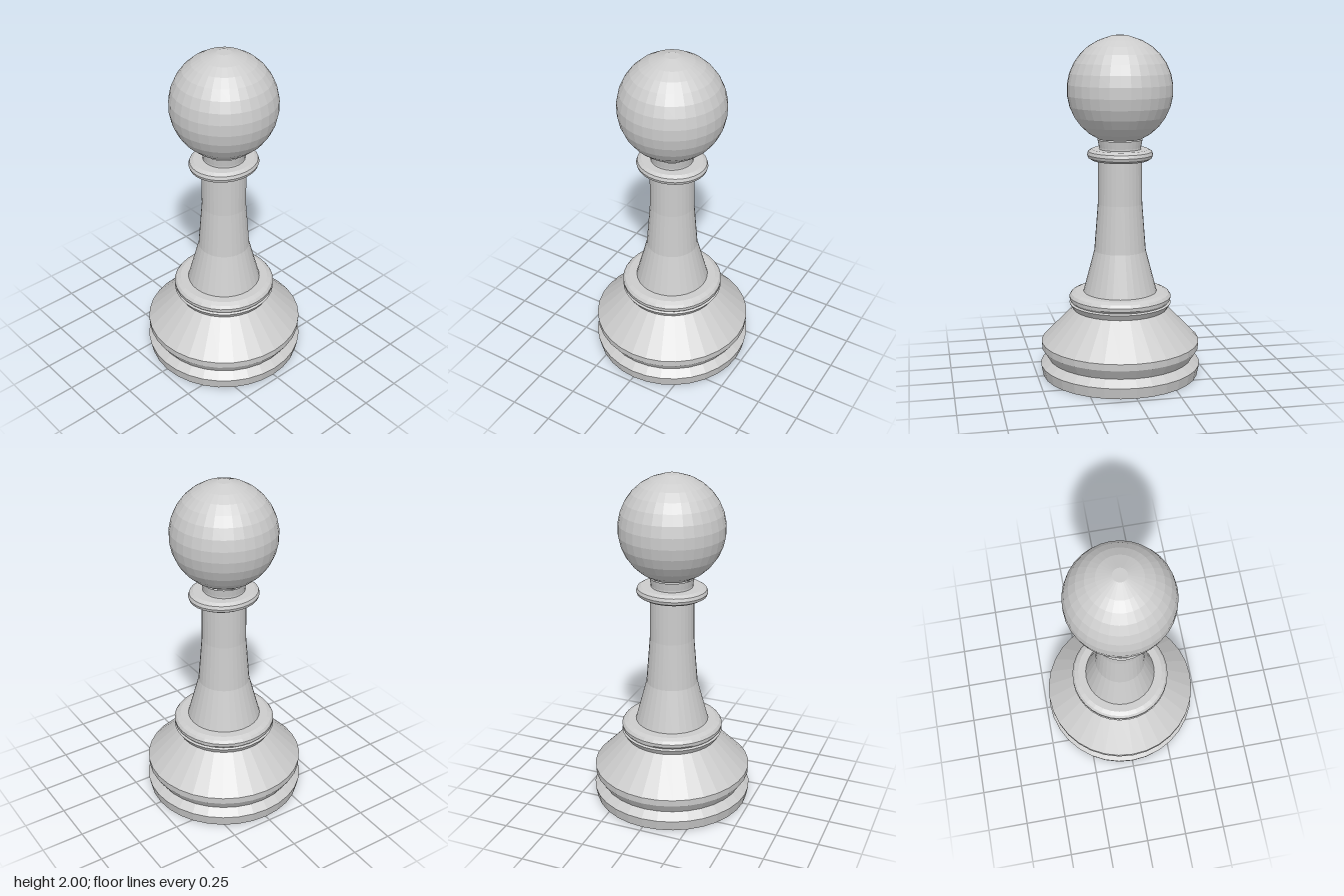
import * as THREE from 'three';

const SIDES = 32;
const material = new THREE.MeshStandardMaterial({ color: 0xcccccc, flatShading: true, side: THREE.DoubleSide });

// Turned part from a bottom-to-top list of [radius, height]
function turned(name, profile) {
  const points = profile.map(([r, y]) => new THREE.Vector2(r, y));
  const mesh = new THREE.Mesh(new THREE.LatheGeometry(points, SIDES), material);
  mesh.name = name;
  return mesh;
}

export function createModel() {
  const pawn = new THREE.Group();
  pawn.name = 'pawn';

  // Foot with a groove, then the sloping shoulder
  pawn.add(turned('base', [
    [0, 0], [0.463, 0], [0.476, 0.065], [0.43, 0.105], [0.468, 0.165],
    [0.47, 0.205], [0.28, 0.4],
  ]));

  // Double ring where the stem meets the base
  pawn.add(turned('lowerRing', [
    [0.28, 0.4], [0.302, 0.435], [0.29, 0.442], [0.3, 0.455],
    [0.302, 0.475], [0.29, 0.492], [0.265, 0.503], [0.2, 0.503],
  ]));

  // Flared stem
  pawn.add(turned('stem', [
    [0.218, 0.5], [0.152, 0.75], [0.13, 1.03], [0.128, 1.29],
  ]));

  // Collar, slightly wider front to back
  const collar = turned('collar', [
    [0.11, 1.287], [0.165, 1.287], [0.185, 1.3], [0.191, 1.318],
    [0.185, 1.337], [0.165, 1.35], [0.11, 1.35],
  ]);
  collar.scale.z = 1.1;
  pawn.add(collar);

  // Short neck
  pawn.add(turned('neck', [[0.122, 1.29], [0.122, 1.36], [0.13, 1.405]]));

  // Ball head with a small flat cap
  const ball = [];
  for (let angle = 156; angle >= 24; angle -= 12) {
    const a = THREE.MathUtils.degToRad(angle);
    ball.push([0.306 * Math.sin(a), 1.69 + 0.308 * Math.cos(a)]);
  }
  pawn.add(turned('head', [[0, 1.4], ...ball, [0.04, 2], [0, 2]]));

  return pawn;
}
